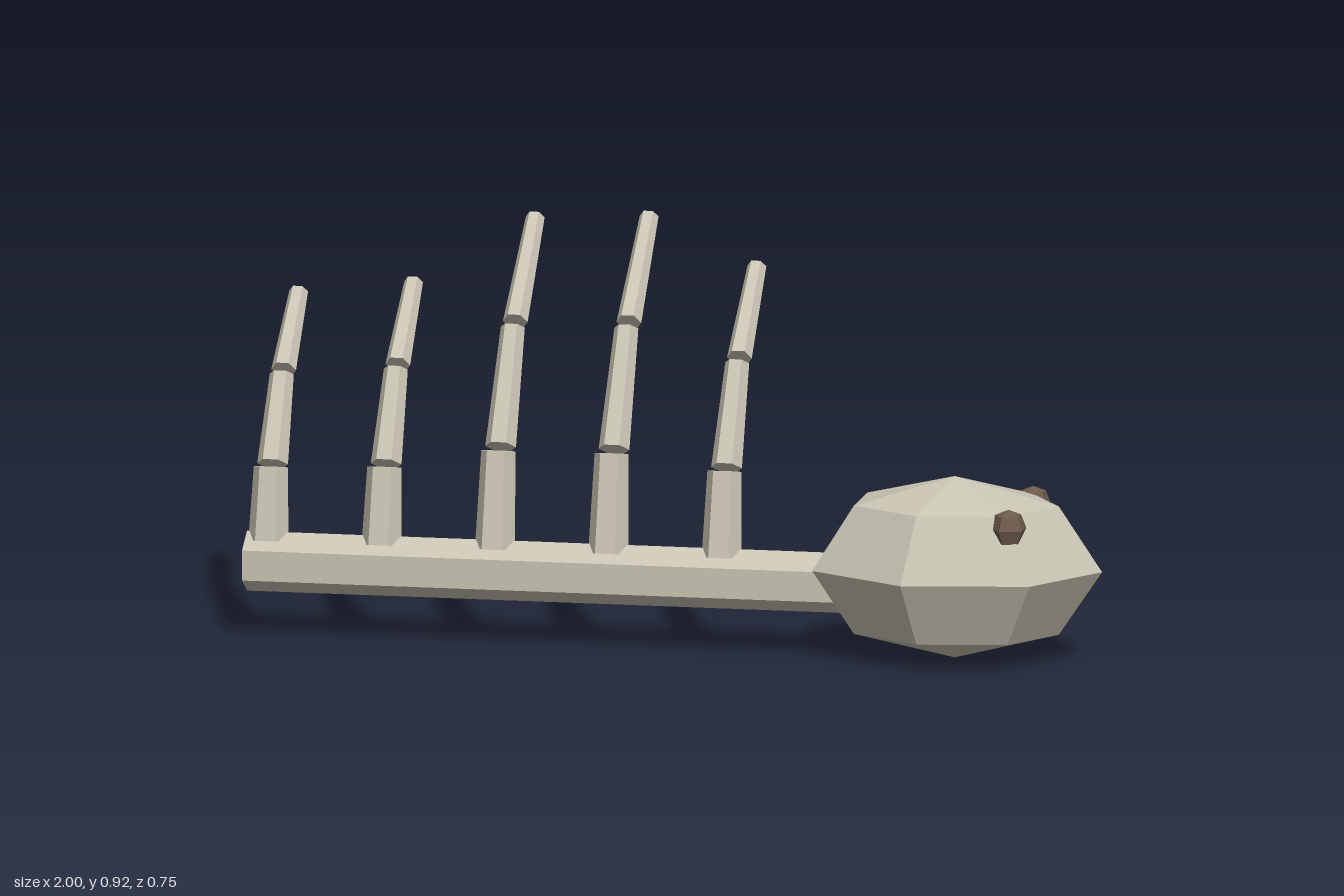
import * as THREE from 'three';

export function createModel() {
  const model = new THREE.Group();
  const bone = new THREE.MeshStandardMaterial({ name: 'bone', color: 0xc9c4b3, flatShading: true });
  const socket = new THREE.MeshStandardMaterial({ name: 'socketBrown', color: 0x6e5a4c, flatShading: true });

  const add = (parent, name, geometry, material) => {
    const mesh = new THREE.Mesh(geometry, material);
    mesh.name = name;
    parent.add(mesh);
    return mesh;
  };

  // Six-sided rod standing on its origin, with a flat side to the front
  const rod = (rTop, rBottom, length) =>
    new THREE.CylinderGeometry(rTop, rBottom, length, 6)
      .rotateY(Math.PI / 6)
      .translate(0, length / 2, 0);

  // Skull: squashed seven-sided ball
  const skull = add(model, 'skull', new THREE.SphereGeometry(1, 7, 4).rotateY(Math.PI), bone);
  skull.scale.set(0.345, 0.212, 0.262);
  skull.position.set(0.655, 0.213, 0.12);

  // Eye sockets, partly sunk in the skull
  for (const side of [1, -1]) {
    const eye = add(model, side > 0 ? 'frontEyeSocket' : 'backEyeSocket',
      new THREE.SphereGeometry(0.045, 5, 4), socket);
    eye.position.set(0.81, 0.335, 0.12 + side * 0.147);
  }

  // Spine: long six-sided bar with a ridge on top
  const spine = add(model, 'spine', rod(0.07, 0.07, 1.45).rotateZ(-Math.PI / 2), bone);
  spine.position.set(-1, 0.165, 0.12);

  // Ribs: three rods each, leaning further back towards the tip
  const segments = [
    { name: 'ribBase', z: 0, y: 0, length: 0.23, lean: 10, rBottom: 0.047, rTop: 0.04 },
    { name: 'ribMiddle', z: -0.068, y: 0.231, length: 0.295, lean: 30, rBottom: 0.036, rTop: 0.028 },
    { name: 'ribTip', z: -0.245, y: 0.494, length: 0.315, lean: 50, rBottom: 0.029, rTop: 0.022 },
  ];
  [0.74, 0.78, 0.985, 1, 0.865].forEach((size, i) => {
    const rib = new THREE.Group();
    rib.name = `rib${i + 1}`;
    rib.position.set(-0.95 + i * 0.265, 0.213, 0.12);
    for (const s of segments) {
      const part = add(rib, s.name, rod(s.rTop, s.rBottom, s.length * size), bone);
      part.position.set(0, s.y * size, s.z * size);
      part.rotation.x = -THREE.MathUtils.degToRad(s.lean);
    }
    model.add(rib);
  });

  return model;
}
